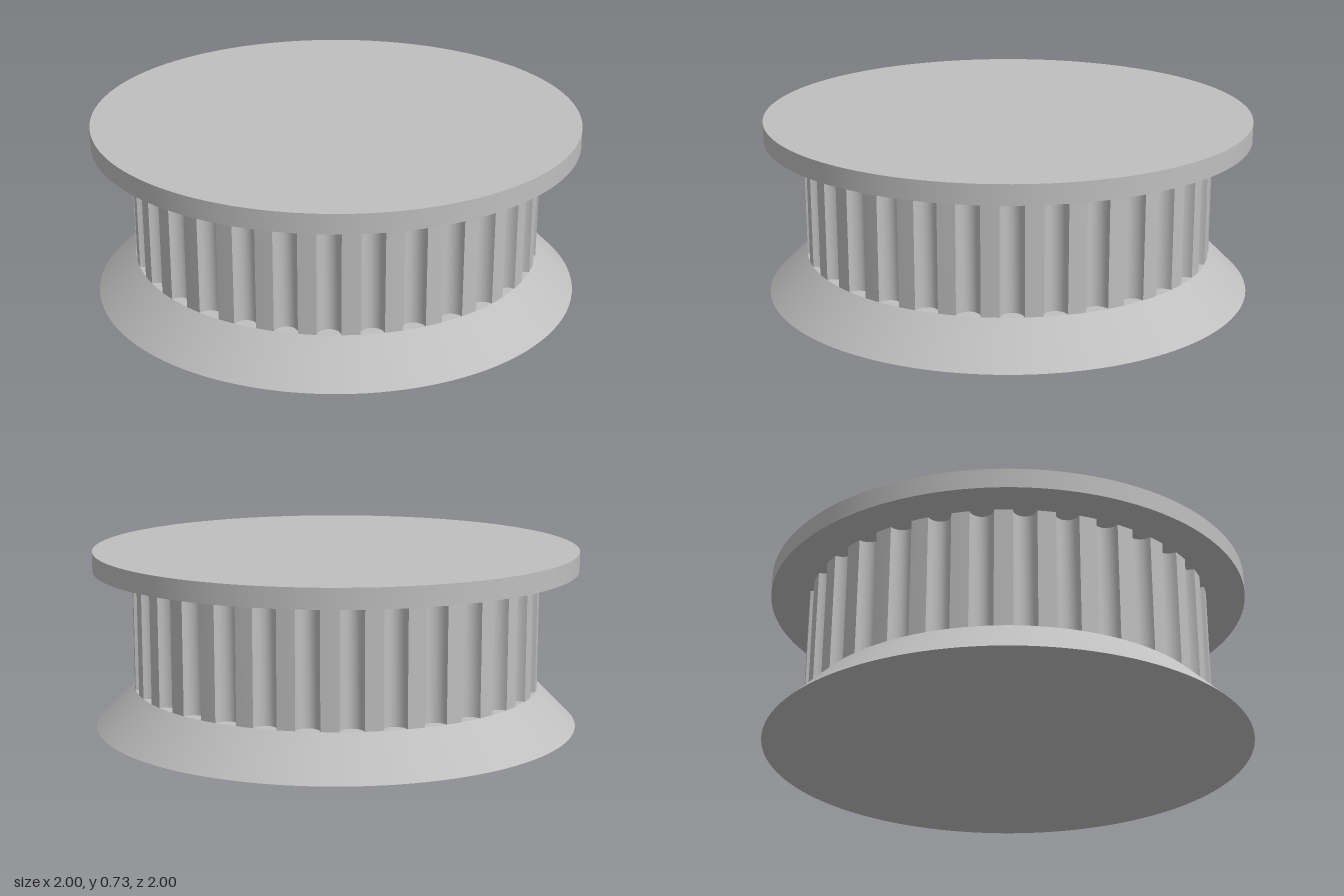
import * as THREE from 'three';
import { toCreasedNormals } from 'three/addons/utils/BufferGeometryUtils.js';

const TEETH = 32;
const RADIUS = 0.84;       // outer radius of the toothed drum
const GROOVE_HALF = 0.047; // half the groove width
const GROOVE_DEPTH = 0.05;
const BASE_TOP = 0.16;
const RIM_BOTTOM = 0.65;
const RIM_TOP = 0.73;

// Drum outline: rounded grooves cut into a circle, with narrow lands between
function drumOutline() {
  const points = [];
  const pitch = (Math.PI * 2) / TEETH;
  const steps = 10;
  for (let i = 0; i < TEETH; i++) {
    const centre = i * pitch;
    for (let j = 0; j <= steps; j++) {
      const t = Math.PI * (j / steps);
      const r = RADIUS - GROOVE_DEPTH * Math.sin(t);
      const a = centre - (GROOVE_HALF * Math.cos(t)) / RADIUS;
      points.push(new THREE.Vector2(r * Math.cos(a), r * Math.sin(a)));
    }
    // middle of the land
    const a = centre + pitch / 2;
    points.push(new THREE.Vector2(RADIUS * Math.cos(a), RADIUS * Math.sin(a)));
  }
  return new THREE.Shape(points);
}

export function createModel() {
  const model = new THREE.Group();
  model.name = 'timingPulley';
  const metal = new THREE.MeshStandardMaterial({ color: 0xbfbfbf });
  metal.name = 'grey metal';

  const add = (name, geometry, y) => {
    const mesh = new THREE.Mesh(geometry, metal);
    mesh.name = name;
    mesh.position.y = y;
    model.add(mesh);
  };

  // Sloped lower flange
  add('lowerFlange', new THREE.CylinderGeometry(RADIUS, 1, BASE_TOP, 128), BASE_TOP / 2);

  // Toothed drum
  const drum = new THREE.ExtrudeGeometry(drumOutline(), {
    depth: RIM_BOTTOM - BASE_TOP, bevelEnabled: false,
  });
  drum.rotateX(-Math.PI / 2);
  add('toothedDrum', toCreasedNormals(drum, 0.5), BASE_TOP);

  // Flat upper flange
  const thickness = RIM_TOP - RIM_BOTTOM;
  add('upperFlange', new THREE.CylinderGeometry(1, 1, thickness, 128), RIM_BOTTOM + thickness / 2);

  return model;
}
